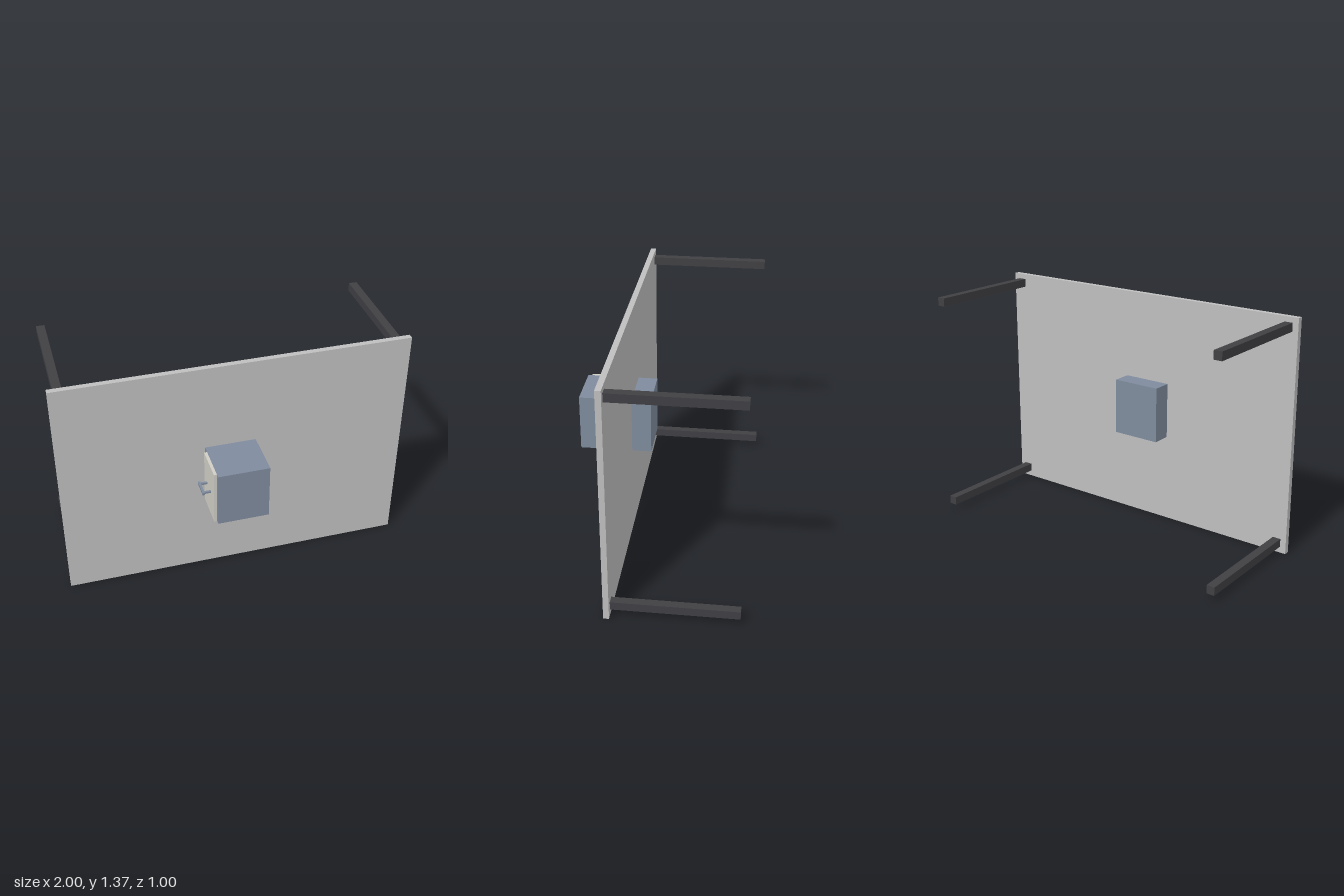
import * as THREE from 'three';

const material = (name, color) => {
  const m = new THREE.MeshStandardMaterial({ color });
  m.name = name;
  return m;
};

export function createModel() {
  const group = new THREE.Group();
  const panelGrey = material('panel grey', 0xbfbfbf);
  const legGrey = material('dark leg grey', 0x404044);
  const boxBlue = material('slate blue', 0x7f8c9e);
  const doorCream = material('pale door', 0xd0cec6);

  // Box given by its low and high corners
  const box = (name, mat, [x0, y0, z0], [x1, y1, z1], parent = group) => {
    const mesh = new THREE.Mesh(new THREE.BoxGeometry(x1 - x0, y1 - y0, z1 - z0), mat);
    mesh.position.set((x0 + x1) / 2, (y0 + y1) / 2, (z0 + z1) / 2);
    mesh.name = name;
    parent.add(mesh);
  };

  // Upright panel
  box('panel', panelGrey, [-1, 0, 0.198], [1, 1.367, 0.23]);

  // Four legs reaching back from the corners
  for (const x of [-0.941, 0.941])
    for (const y of [0.06, 1.313])
      box('leg', legGrey, [x - 0.024, y - 0.024, -0.5], [x + 0.024, y + 0.024, 0.198]);

  // Cabinet passing through the panel
  box('cabinet', boxBlue, [-0.178, 0.522, 0.086], [0.114, 0.852, 0.501]);

  // Door on the right side of the cabinet
  box('door', doorCream, [-0.195, 0.522, 0.272], [-0.178, 0.852, 0.478]);

  // Door handle: grip on two posts
  const handle = new THREE.Group();
  handle.name = 'doorHandle';
  box('handleGrip', boxBlue, [-0.245, 0.679, 0.32], [-0.232, 0.694, 0.424], handle);
  for (const z of [0.333, 0.411])
    box('handlePost', boxBlue, [-0.232, 0.681, z - 0.006], [-0.195, 0.692, z + 0.006], handle);
  group.add(handle);

  return group;
}
